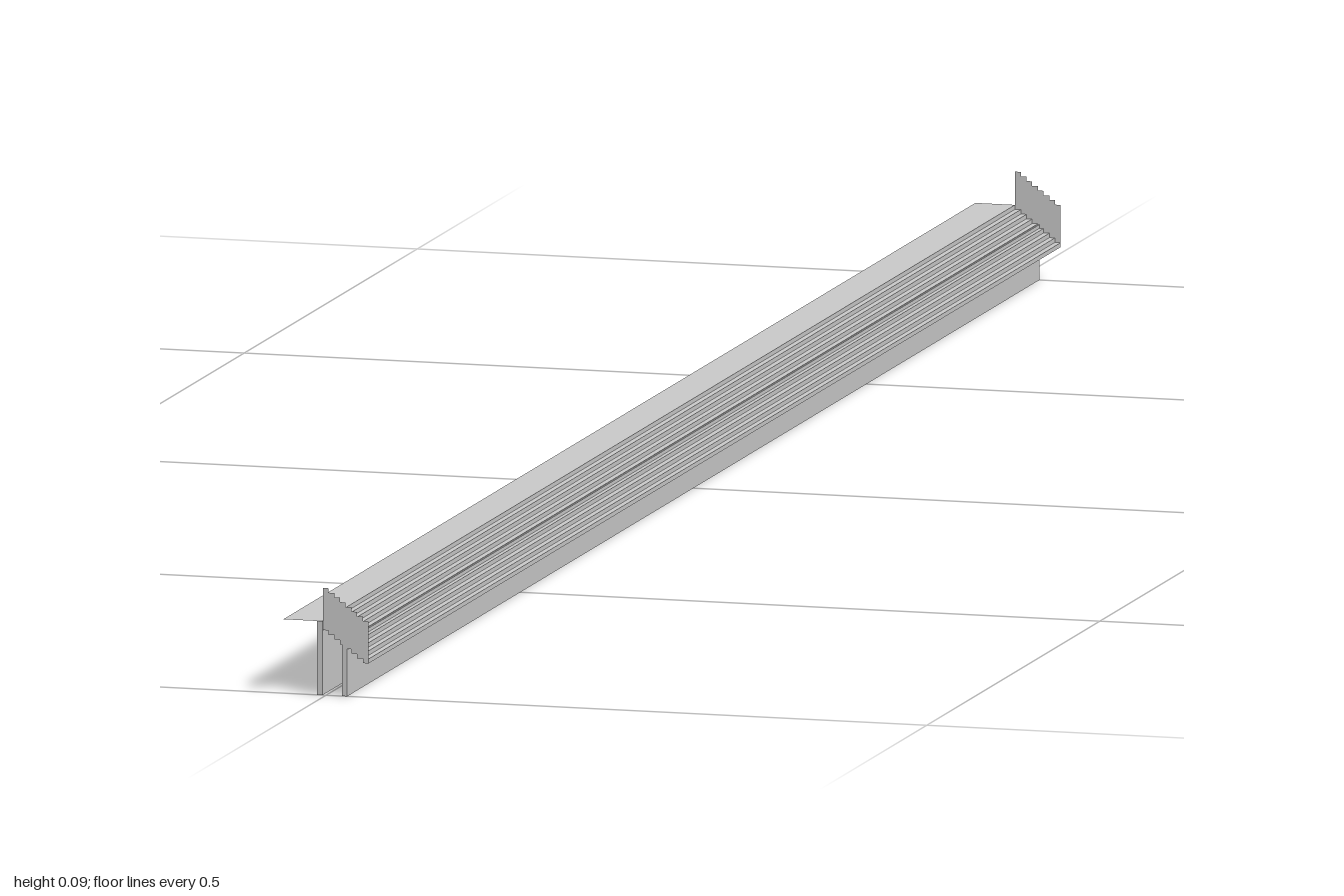
import * as THREE from 'three';

const LENGTH = 2, STEPS = 8;
const X0 = -0.0025, X1 = 0.0355, BACK = -0.0355;
const DECK_Y = 0.06, RISE = 0.0036, TREAD = (X1 - X0) / STEPS;
const PANEL_TOP = 0.087;

const material = new THREE.MeshStandardMaterial({
  color: 0xcccccc, side: THREE.DoubleSide, flatShading: true,
});

function add(group, name, geometry, x = 0, y = 0, z = 0) {
  const mesh = new THREE.Mesh(geometry, material);
  mesh.name = name;
  mesh.position.set(x, y, z);
  group.add(mesh);
  return mesh;
}

// Horizontal sheet running the whole length
function sheet(width) {
  return new THREE.PlaneGeometry(width, LENGTH).rotateX(-Math.PI / 2);
}

// Stepped end panel: descending top edge, matching stepped lower edge
function endPanelShape() {
  const top = [], bottom = [];
  for (let i = 0; i < STEPS; i++) {
    for (const x of [X0 + i * TREAD, X0 + (i + 1) * TREAD]) {
      top.push(new THREE.Vector2(x, PANEL_TOP - i * RISE));
      bottom.push(new THREE.Vector2(x, DECK_Y - (i + 2) * RISE));
    }
  }
  return new THREE.Shape([...bottom, ...top.reverse()]);
}

export function createModel() {
  const model = new THREE.Group();
  model.name = 'longSteppedStand';

  // Flat walkway behind the steps
  add(model, 'walkway', sheet(X0 - BACK), (X0 + BACK) / 2, DECK_Y);

  // Thin steps descending towards +x
  const steps = new THREE.Group();
  steps.name = 'steps';
  model.add(steps);
  for (let i = 0; i <= STEPS; i++) {
    const x = X0 + i * TREAD, y = DECK_Y - i * RISE;
    const riser = new THREE.PlaneGeometry(LENGTH, RISE).rotateY(Math.PI / 2);
    add(steps, 'riser', riser, x, y - RISE / 2);
    if (i < STEPS) add(steps, 'tread', sheet(TREAD), x + TREAD / 2, y - RISE);
  }

  // Two long supporting walls
  add(model, 'backWall', new THREE.BoxGeometry(0.0045, DECK_Y, LENGTH), -0.005, DECK_Y / 2);
  add(model, 'frontWall', new THREE.BoxGeometry(0.0045, 0.045, LENGTH), 0.0155, 0.0225);

  // Thin panels closing both ends
  const panel = new THREE.ShapeGeometry(endPanelShape());
  for (const side of [-1, 1]) add(model, 'endPanel', panel, 0, 0, side * LENGTH / 2);

  return model;
}
